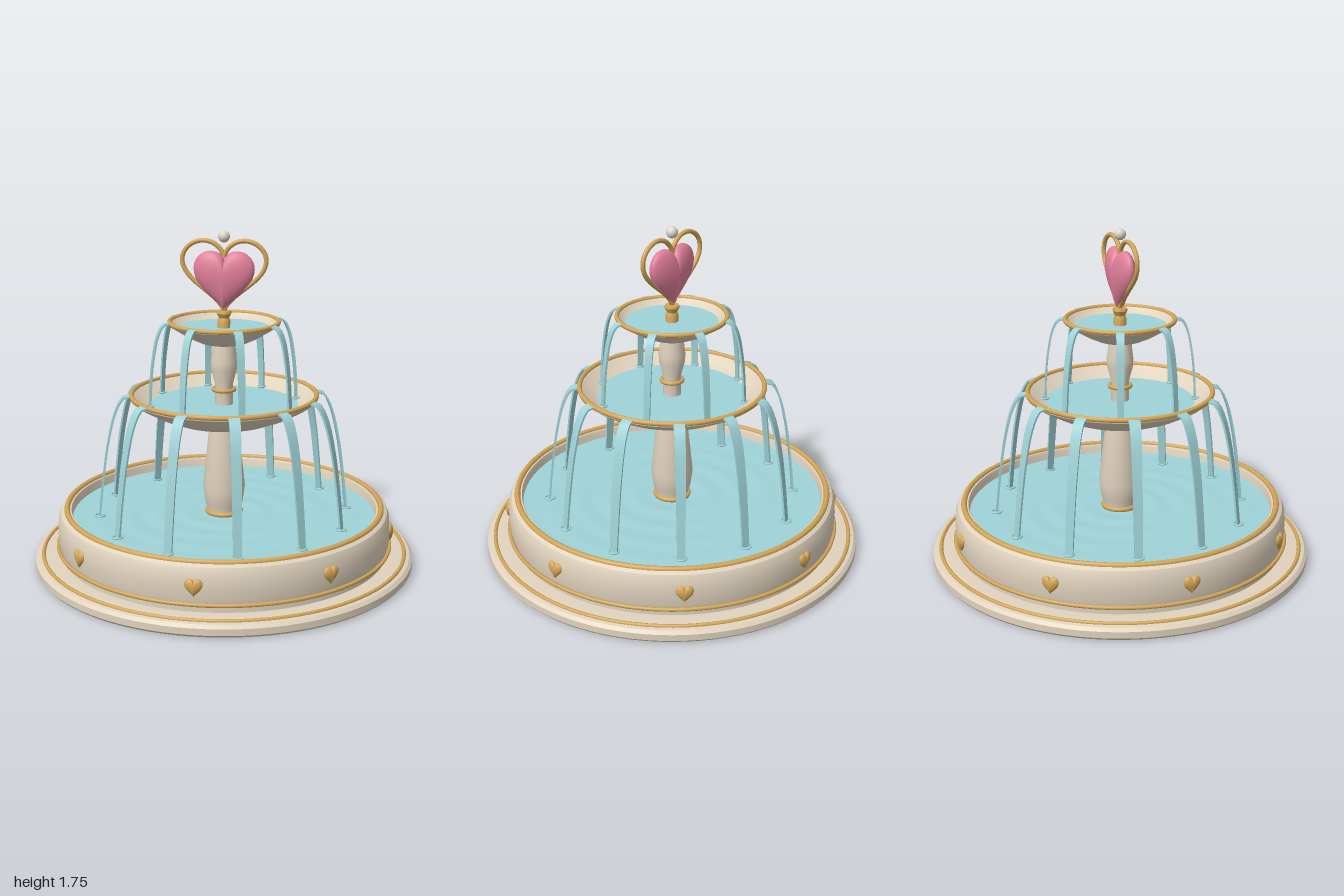
import * as THREE from 'three';
import { toCreasedNormals } from 'three/addons/utils/BufferGeometryUtils.js';

const material = (name, color) => {
  const m = new THREE.MeshStandardMaterial({ color });
  m.name = name;
  return m;
};

export function createModel() {
  const stone = material('stone', 0xe0d3be);
  const gold = material('gold', 0xd4a657);
  const water = material('water', 0x9fd3d8);
  const pink = material('pink', 0xe27f9b);
  const pearl = material('pearl', 0xdcd6cc);

  const model = new THREE.Group();
  model.name = 'fountain';

  const add = (name, geometry, mat, y = 0, parent = model) => {
    const mesh = new THREE.Mesh(geometry, mat);
    mesh.name = name;
    mesh.position.y = y;
    parent.add(mesh);
    return mesh;
  };
  const turned = (name, points, mat, segments = 72) => {
    const profile = points.map(([r, y]) => new THREE.Vector2(r, y));
    return add(name, toCreasedNormals(new THREE.LatheGeometry(profile, segments), 0.5), mat);
  };
  const ring = (name, radius, tube, y, mat = gold, parent = model, segments = 80) =>
    add(name, new THREE.TorusGeometry(radius, tube, 8, segments).rotateX(Math.PI / 2), mat, y, parent);
  const disc = (name, radius, y) =>
    add(name, new THREE.CircleGeometry(radius, 64).rotateX(-Math.PI / 2), water, y);

  // Plinth and pool wall
  turned('plinth', [[0, 0], [0.99, 0], [1, 0.012], [1, 0.045], [0.985, 0.06], [0.96, 0.065],
    [0.865, 0.065], [0.865, 0.1], [0, 0.1]], stone, 96);
  ring('plinthTrim', 0.957, 0.01, 0.066, gold, model, 96);
  turned('poolWall', [[0.8, 0.1], [0.868, 0.1], [0.875, 0.13], [0.877, 0.2], [0.872, 0.26], [0.86, 0.288],
    [0.84, 0.3], [0.805, 0.3], [0.8, 0.29], [0.8, 0.1]], stone, 96);
  ring('wallTrim', 0.879, 0.01, 0.106, gold, model, 96);
  ring('poolRim', 0.828, 0.015, 0.301, gold, model, 96);

  // Pool surface with faint circular waves
  const waves = [];
  for (let i = 40; i >= 0; i--) {
    const r = 0.805 * i / 40;
    waves.push([r, 0.25 + 0.003 * Math.sin(r * 40) * (1 - r)]);
  }
  turned('poolWater', waves, water, 80);

  // Lower column and bowl
  turned('lowerColumn', [[0.085, 0.2], [0.085, 0.27], [0.098, 0.31], [0.111, 0.4], [0.075, 0.74]], stone, 40);
  ring('lowerColumnRing', 0.088, 0.013, 0.262);
  turned('lowerBowl', [[0, 0.727], [0.1, 0.727], [0.18, 0.745], [0.27, 0.77], [0.36, 0.807], [0.45, 0.857],
    [0.487, 0.885], [0.49, 0.9], [0.472, 0.9], [0.43, 0.87], [0.38, 0.843], [0.3, 0.82], [0, 0.81]], stone);
  ring('lowerBowlRim', 0.48, 0.013, 0.9);
  disc('lowerBowlWater', 0.386, 0.847);

  // Upper column and bowl
  turned('upperColumn', [[0.046, 0.82], [0.046, 0.95], [0.067, 1.03], [0.069, 1.07], [0.056, 1.18]], stone, 40);
  ring('upperColumnRing', 0.054, 0.011, 0.925);
  turned('upperBowl', [[0, 1.163], [0.07, 1.163], [0.12, 1.175], [0.18, 1.203], [0.24, 1.24], [0.285, 1.268],
    [0.289, 1.28], [0.27, 1.28], [0.235, 1.247], [0.18, 1.23], [0, 1.225]], stone);
  ring('upperBowlRim', 0.28, 0.012, 1.28);
  disc('upperBowlWater', 0.238, 1.25);

  // Arching streams: a thin box bent along a curve, with a ripple where it lands
  const streams = (name, count, points, width, rippleRadius, rippleY) => {
    const curve = new THREE.CatmullRomCurve3(points.map(([r, y]) => new THREE.Vector3(r, y, 0)));
    const geometry = new THREE.BoxGeometry(0.01, 1, width, 1, 20, 1);
    const pos = geometry.attributes.position;
    for (let i = 0; i < pos.count; i++) {
      const t = 0.5 - pos.getY(i);
      const p = curve.getPointAt(t), d = curve.getTangentAt(t), x = pos.getX(i);
      pos.setXYZ(i, p.x - d.y * x, p.y + d.x * x, pos.getZ(i) * (1 - 0.28 * t));
    }
    geometry.computeVertexNormals();
    for (let i = 0; i < count; i++) {
      const group = new THREE.Group();
      group.name = name;
      group.rotation.y = (i + 0.5) * 2 * Math.PI / count;
      add('ribbon', geometry, water, 0, group);
      ring('ripple', rippleRadius, 0.005, rippleY, water, group, 20).position.x = points[points.length - 1][0];
      model.add(group);
    }
  };
  streams('lowerStream', 12, [[0.488, 0.9], [0.52, 0.893], [0.562, 0.82], [0.605, 0.65], [0.635, 0.45], [0.658, 0.245]],
    0.056, 0.025, 0.254);
  streams('upperStream', 8, [[0.285, 1.282], [0.315, 1.275], [0.345, 1.22], [0.37, 1.1], [0.383, 0.98], [0.39, 0.845]],
    0.042, 0.018, 0.856);

  // Heart outline
  const heart = (t, a, b, c, d) => [16 * Math.sin(t) ** 3,
    a * Math.cos(t) - b * Math.cos(2 * t) - c * Math.cos(3 * t) - d * Math.cos(4 * t)];

  // Puffed heart: a sphere whose equator follows the outline
  const puffed = new THREE.SphereGeometry(1, 64, 20);
  const { position, uv } = puffed.attributes;
  for (let i = 0; i < position.count; i++) {
    const depth = position.getY(i);
    const s = Math.sqrt(Math.max(0, 1 - depth * depth));
    const [x, y] = heart(-uv.getX(i) * 2 * Math.PI, 14, 4, 2, 0.5);
    position.setXYZ(i, x / 16 * s, (y * s + 2.35) / 14.15, depth);
  }
  puffed.computeVertexNormals();

  // Small hearts around the pool wall
  for (let i = 0; i < 8; i++) {
    const mount = new THREE.Group();
    mount.name = 'wallHeart';
    mount.rotation.y = i * Math.PI / 4;
    const small = add('heart', puffed, gold, 0.19, mount);
    small.position.z = 0.875;
    small.scale.set(0.044, 0.045, 0.02);
    model.add(mount);
  }

  // Crowning heart on its cup, with a gold frame and a pearl
  turned('finialCup', [[0, 1.22], [0.032, 1.22], [0.032, 1.285], [0.026, 1.3], [0.039, 1.325], [0.036, 1.337], [0, 1.337]], gold, 32);
  add('crownHeart', puffed, pink, 1.488).scale.set(0.157, 0.153, 0.053);
  for (const side of [1, -1]) {
    const points = [];
    for (let i = 0; i <= 24; i++) {
      const [x, y] = heart(i / 24 * Math.PI, 13, 5, 2, 1);
      points.push(new THREE.Vector3(side * x * 0.215 / 16, 1.335 + (y + 17) * 0.36 / 29, 0));
    }
    add('heartFrame', new THREE.TubeGeometry(new THREE.CatmullRomCurve3(points), 64, 0.012, 10), gold);
  }
  add('pearlBall', new THREE.SphereGeometry(0.03, 24, 16), pearl, 1.715);

  return model;
}
